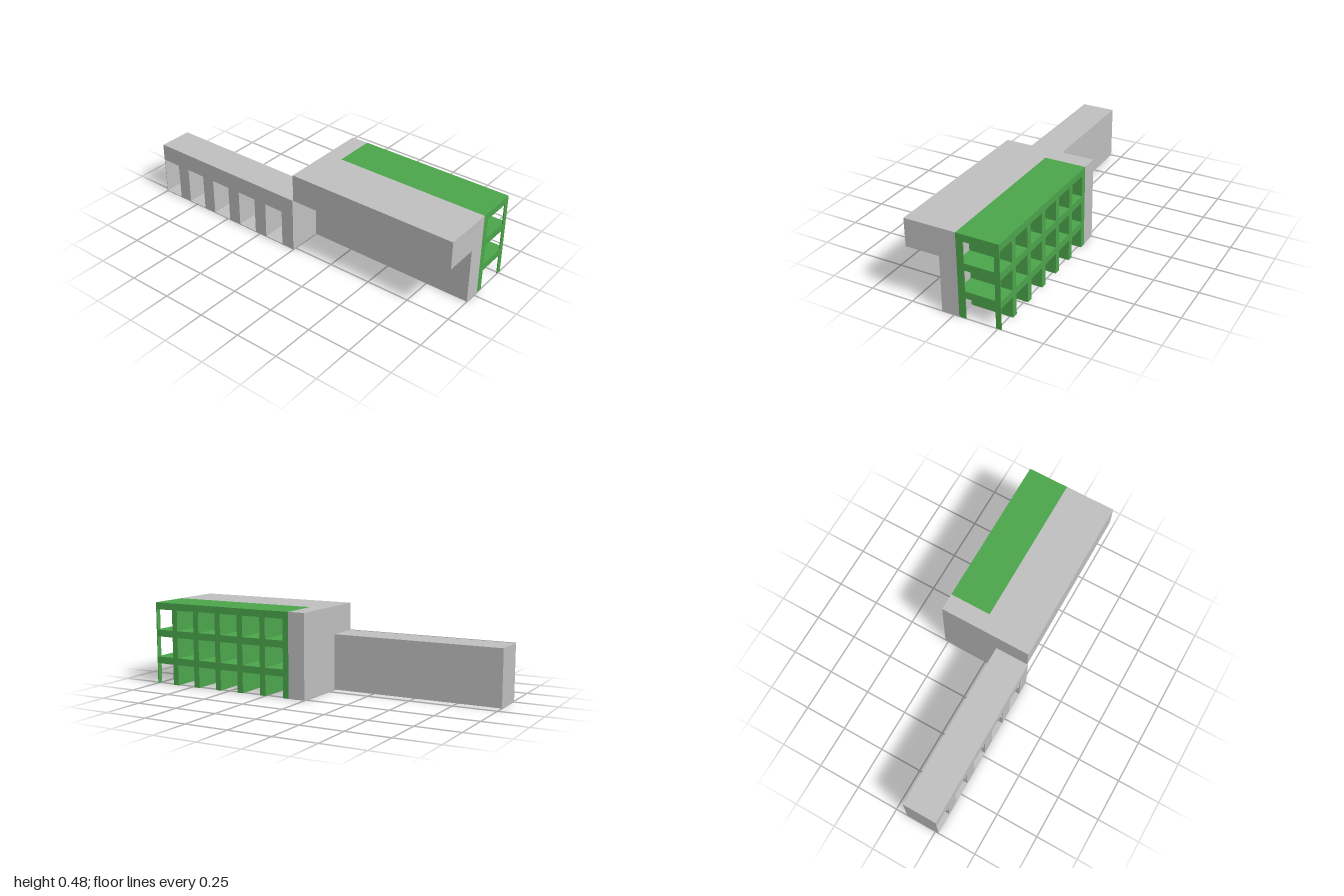
import * as THREE from 'three';

export function createModel() {
  const model = new THREE.Group();
  const concrete = new THREE.MeshStandardMaterial({ color: 0xc0c0c0 });
  concrete.name = 'concrete grey';
  const green = new THREE.MeshStandardMaterial({ color: 0x4ca64c });
  green.name = 'balcony green';

  // Box given by its extents on each axis
  const box = (parent, name, mat, [x0, x1], [y0, y1], [z0, z1]) => {
    const mesh = new THREE.Mesh(new THREE.BoxGeometry(x1 - x0, y1 - y0, z1 - z0), mat);
    mesh.position.set((x0 + x1) / 2, (y0 + y1) / 2, (z0 + z1) / 2);
    mesh.name = name;
    parent.add(mesh);
  };
  const section = (name) => {
    const g = new THREE.Group();
    g.name = name;
    model.add(g);
    return g;
  };

  // Main block: overhanging top storey, supporting wall and closed end
  const main = section('mainBlock');
  box(main, 'overhang', concrete, [-0.265, 0.03], [0.32, 0.48], [0.1, 1]);
  box(main, 'supportWall', concrete, [-0.07, 0.03], [0, 0.32], [0.1, 1]);
  box(main, 'endUpper', concrete, [-0.265, 0.27], [0.32, 0.48], [0, 0.1]);
  box(main, 'endLower', concrete, [-0.07, 0.27], [0, 0.32], [0, 0.1]);

  // Balcony grid: three slabs and six solid dividers
  const balconies = section('balconies');
  const slabs = [0.12, 0.28, 0.44];
  for (const y of slabs) box(balconies, 'slab', green, [0.03, 0.27], [y, y + 0.04], [0.1, 0.995]);
  for (let i = 0; i < 6; i++) {
    const z = 0.85 - i * 0.15;
    for (const y of slabs) box(balconies, 'divider', green, [0.03, 0.27], [y - 0.12, y], [z, z + 0.035]);
  }

  // Thin front frame, open at the ground and with two openings above
  const outline = new THREE.Shape([
    [0.03, 0], [0.07, 0], [0.07, 0.12], [0.24, 0.12], [0.24, 0], [0.27, 0], [0.27, 0.48], [0.03, 0.48],
  ].map(([x, y]) => new THREE.Vector2(x, y)));
  for (const y of [0.16, 0.32]) {
    outline.holes.push(new THREE.Path([
      [0.07, y], [0.07, y + 0.12], [0.24, y + 0.12], [0.24, y],
    ].map(([x, h]) => new THREE.Vector2(x, h))));
  }
  const frame = new THREE.Mesh(new THREE.ExtrudeGeometry(outline, { depth: 0.005, bevelEnabled: false }), green);
  frame.position.z = 0.995;
  frame.name = 'frontFrame';
  balconies.add(frame);

  // Low annex with a row of bays along its outer side
  const annex = section('annex');
  box(annex, 'roof', concrete, [-0.265, -0.07], [0.22, 0.32], [-1, 0]);
  box(annex, 'floor', concrete, [-0.27, -0.07], [0, 0.005], [-1, 0]);
  box(annex, 'innerWall', concrete, [-0.09, -0.07], [0.005, 0.22], [-1, 0]);
  box(annex, 'endWall', concrete, [-0.27, -0.09], [0.005, 0.22], [-1, -0.997]);
  box(annex, 'fascia', concrete, [-0.27, -0.265], [0.22, 0.322], [-1, 0]);
  for (let i = 0; i < 5; i++) {
    const z = -1 + i * 0.2;
    box(annex, 'pier', concrete, [-0.27, -0.265], [0.005, 0.22], [z + 0.12, z + 0.2]);
    box(annex, 'lowBlock', concrete, [-0.265, -0.23], [0.005, 0.11], [z + 0.12, z + 0.18]);
    box(annex, 'partition', concrete, [-0.265, -0.09], [0.005, 0.22], [z + 0.18, z + 0.2]);
  }
  return model;
}
